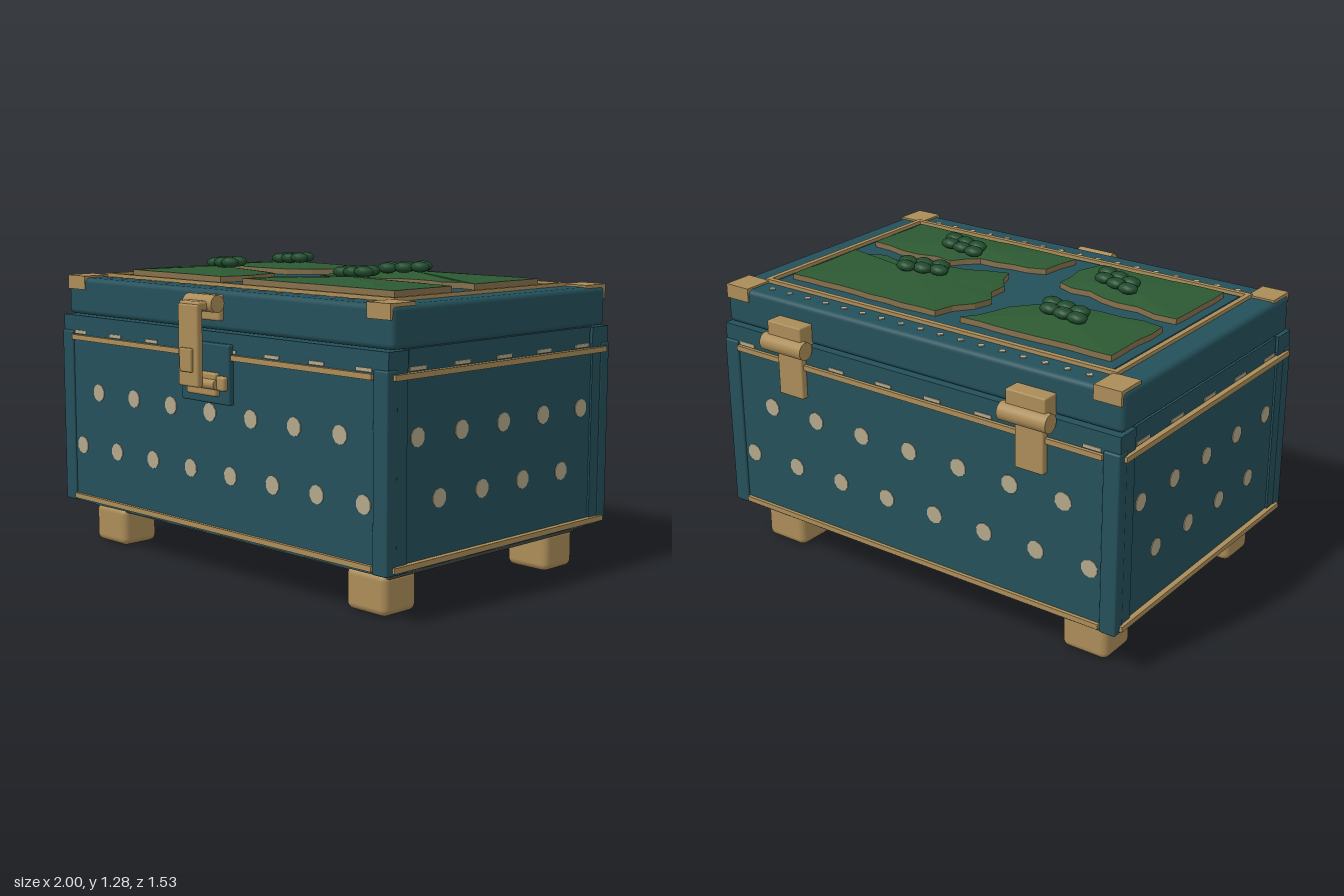
import * as THREE from 'three';
import { RoundedBoxGeometry } from 'three/addons/geometries/RoundedBoxGeometry.js';

const mat = (name, color, flatShading = false) => {
  const m = new THREE.MeshStandardMaterial({ color, flatShading });
  m.name = name;
  return m;
};

// Repeatable noise from -1 to 1
const noise = (n) => {
  const v = Math.sin(n * 127.1 + 3.7) * 43758.5453;
  return (v - Math.floor(v)) * 2 - 1;
};

// Coast line: splits each edge into short pieces and moves the new points sideways,
// strongly on inner edges and barely along the outer rim
const coast = (corners, seed) => corners.flatMap((a, i) => {
  const b = corners[(i + 1) % corners.length];
  const d = b.clone().sub(a);
  const pieces = Math.max(1, Math.round(d.length() / 0.085));
  const outer = Math.abs(a.x + b.x) > 1.5 || Math.abs(a.y + b.y) > 0.76;
  const side = new THREE.Vector2(-d.y, d.x).normalize();
  return Array.from({ length: pieces }, (_, k) => {
    const shift = k ? noise(seed * 50 + i * 10 + k) * (outer ? 0.006 : 0.02) : 0;
    return a.clone().addScaledVector(d, k / pieces).addScaledVector(side, shift);
  });
});

const triangles = (points) => {
  const g = new THREE.BufferGeometry().setFromPoints(points);
  g.computeVertexNormals();
  return g;
};

export function createModel() {
  const root = new THREE.Group();
  root.name = 'chest';
  const teal = mat('teal', 0x24505a);
  const gold = mat('gold', 0xab8c58);
  const beige = mat('beige', 0xb3a78a);
  const green = mat('green', 0x2c5932, true);
  const darkGreen = mat('darkGreen', 0x1e4a2b);
  const earth = mat('earth', 0x86704c, true);
  const grey = mat('grey', 0x434740);

  const add = (name, geo, material, x = 0, y = 0, z = 0) => {
    const m = new THREE.Mesh(geo, material);
    m.name = name;
    m.position.set(x, y, z);
    root.add(m);
    return m;
  };
  // Box given by its limits on each axis; r rounds the edges
  const box = (name, material, [x0, x1], [y0, y1], [z0, z1], r = 0) => {
    const s = [x1 - x0, y1 - y0, z1 - z0];
    const geo = r ? new RoundedBoxGeometry(...s, 3, r) : new THREE.BoxGeometry(...s);
    return add(name, geo, material, (x0 + x1) / 2, (y0 + y1) / 2, (z0 + z1) / 2);
  };
  const sym = (h) => [-h, h];
  const span = (s, a, b) => (s > 0 ? [a, b] : [-b, -a]);
  const CZ = -0.022; // middle of the box in z
  const zSpan = (s, a, b) => span(s, a, b).map((v) => v + CZ);
  const sides = [1, -1];

  // Body and floor
  box('body', teal, sym(0.977), [0.19, 0.95], zSpan(1, -0.658, 0.658));
  box('floor', grey, sym(0.905), [0.15, 0.19], zSpan(1, -0.565, 0.56));

  // Feet and corner posts, each post made of two boards
  for (const sx of sides) {
    for (const sz of sides) {
      box('foot', gold, span(sx, 0.685, 0.895), [0, 0.168], zSpan(sz, 0.393, 0.577), 0.03);
      box('cornerPost', teal, span(sx, 0.915, 0.988), [0.19, 0.95], zSpan(sz, 0.61, 0.668), 0.008);
      box('cornerPostSide', teal, span(sx, 0.93, 0.985), [0.19, 0.95], zSpan(sz, 0.557, 0.615));
    }
  }

  const spotGeo = new THREE.CylinderGeometry(0.038, 0.038, 0.006, 10).rotateX(Math.PI / 2);
  const PITCH = 0.2467;
  const row = (count, place) => {
    for (let i = 0; i < count; i++) place((i - (count - 1) / 2) * PITCH);
  };
  for (const s of sides) {
    // Gold trims round the body
    for (const y of [0.2125, 0.923]) {
      box('longTrim', gold, sym(0.913), [y - 0.011, y + 0.011], zSpan(s, 0.65, 0.673));
      box('shortTrim', gold, span(s, 0.97, 1), [y - 0.011, y + 0.011], zSpan(1, -0.635, 0.635));
    }
    // Rim under the lid, with small gaps at the corners
    box('rimLong', teal, sym(0.985), [0.95, 1.018], zSpan(s, 0.555, 0.658));
    box('rimShort', teal, span(s, 0.86, 0.978), [0.95, 1.02], zSpan(1, -0.547, 0.545));

    // Painted spots on the walls
    const longSpot = (y) => (x) => add('spot', spotGeo, beige, x, y, CZ + s * 0.658);
    const shortSpot = (y) => (z) => {
      add('spot', spotGeo, beige, s * 0.977, y, CZ + z).rotation.y = Math.PI / 2;
    };
    row(7, longSpot(0.69));
    row(8, longSpot(0.445));
    row(5, shortSpot(0.69));
    row(4, shortSpot(0.445));

    // Painted dashes along the upper and lower ledges
    row(8, (x) => {
      box('ledgeDash', beige, [x - 0.04, x + 0.04], [0.938, 0.953], zSpan(s, 0.655, 0.662));
    });
    row(7, (x) => {
      box('bottomDash', beige, [x - 0.05, x + 0.05], [0.187, 0.192], zSpan(s, 0.57, 0.655));
    });
    row(5, (z) => {
      const zs = [CZ + z - 0.045, CZ + z + 0.045];
      box('ledgeDash', beige, span(s, 0.974, 0.981), [0.938, 0.953], zs);
      box('bottomDash', beige, span(s, 0.91, 0.975), [0.187, 0.192], zs);
    });
  }

  // Lid with corner caps, raised frame and studs
  const LZ = -0.026; // middle of the lid in z
  const studGeo = new THREE.CylinderGeometry(0.017, 0.017, 0.006, 4);
  box('lid', teal, sym(0.982), [1.02, 1.182], [LZ - 0.636, LZ + 0.638], 0.022);
  box('lidPanel', teal, sym(0.835), [1.17, 1.188], [LZ - 0.478, LZ + 0.478]);
  for (const s of sides) {
    const lidZ = (a, b) => span(s, a, b).map((v) => v + LZ);
    for (const sx of sides) {
      box('cornerCap', gold, span(sx, 0.855, 0.975), [1.13, 1.19], lidZ(0.51, 0.643));
    }
    box('frameSide', gold, span(s, 0.852, 0.874), [1.17, 1.197], [LZ - 0.516, LZ + 0.516]);
    box('frameLong', gold, sym(0.874), [1.17, 1.197], lidZ(0.494, 0.516));
    for (let i = -8; i <= 8; i++) add('stud', studGeo, beige, i * 0.0985, 1.183, LZ - 0.006 + s * 0.559);
  }

  // Raised lands: earth sides, a green top rising to a low peak, and a clump of bushes
  const bushGeo = new THREE.SphereGeometry(0.046, 10, 6).scale(1, 0.5, 0.75);
  const land = (seed, peak, bush, slant, corners) => {
    const edge = coast(corners.map(([x, z]) => new THREE.Vector2(x, z)), seed);
    const at = (p, y) => new THREE.Vector3(p.x, y, p.y);
    const summit = new THREE.Vector3(peak[0], 1.236, peak[1]);
    const top = [], wall = [];
    edge.forEach((a, i) => {
      const b = edge[(i + 1) % edge.length];
      const [a0, a1, b0, b1] = [at(a, 1.18), at(a, 1.212), at(b, 1.18), at(b, 1.212)];
      top.push(summit, b1, a1);
      wall.push(a0, a1, b1, a0, b1, b0);
    });
    add('landTop', triangles(top), green);
    add('landEdge', triangles(wall), earth);
    for (let i = 0; i < 6; i++) {
      const r = i < 3 ? -1 : 1;
      const dx = ((i % 3) - 1) * 0.066 + r * 0.015;
      add('bush', bushGeo, darkGreen, bush[0] + dx, 1.248 + (i % 3) * 0.004, bush[1] + r * 0.032 + dx * slant);
    }
  };
  land(1, [-0.44, -0.24], [-0.44, -0.24], 0.05,
    [[-0.79, -0.45], [-0.09, -0.455], [-0.18, -0.25], [-0.33, -0.1], [-0.79, -0.085]]);
  land(2, [0.335, -0.19], [0.34, -0.145], -0.4,
    [[0.03, -0.46], [0.79, -0.46], [0.79, -0.06], [0.4, -0.05], [0.06, 0.08], [-0.07, -0.22]]);
  land(3, [-0.43, 0.2], [-0.42, 0.175], 0.25,
    [[-0.79, 0.02], [-0.5, 0.04], [-0.18, 0.11], [-0.16, 0.28], [-0.2, 0.4], [-0.79, 0.4]]);
  land(4, [0.4, 0.24], [0.37, 0.175], 0.1,
    [[-0.04, 0.21], [0.27, 0.16], [0.36, 0.06], [0.79, 0.075], [0.79, 0.4], [-0.07, 0.395]]);

  // Front latch: back plate, hinged strap, staple and pin
  const rod = (name, r, length, x, y, z) =>
    add(name, new THREE.CylinderGeometry(r, r, length, 20).rotateZ(Math.PI / 2), gold, x, y, z);
  box('latchPlate', teal, sym(0.145), [0.733, 0.975], [0.63, 0.662], 0.008);
  box('latchMount', gold, sym(0.06), [1.06, 1.165], [0.6, 0.635], 0.01);
  rod('latchBarrel', 0.035, 0.175, 0, 1.133, 0.665);
  box('latchArm', gold, sym(0.06), [1.108, 1.145], [0.67, 0.745], 0.012);
  box('latchStrap', gold, sym(0.06), [0.805, 1.135], [0.717, 0.75], 0.01);
  box('latchButton', gold, sym(0.035), [0.865, 0.96], [0.745, 0.764], 0.006);
  box('staple', gold, sym(0.09), [0.765, 0.86], [0.655, 0.685], 0.01);
  rod('staplePin', 0.02, 0.2, 0, 0.815, 0.685);

  for (const s of sides) {
    box('stapleEar', gold, span(s, 0.088, 0.14), [0.79, 0.85], [0.655, 0.685], 0.012);
    // Back hinges
    box('hingeBlock', gold, span(s, 0.51, 0.69), [1.02, 1.11], [-0.733, -0.65], 0.006);
    rod('hingeBarrel', 0.038, 0.22, s * 0.6, 1.015, -0.725);
    box('hingeStrap', gold, span(s, 0.535, 0.665), [0.785, 1], [-0.708, -0.675], 0.006);
  }
  return root;
}
